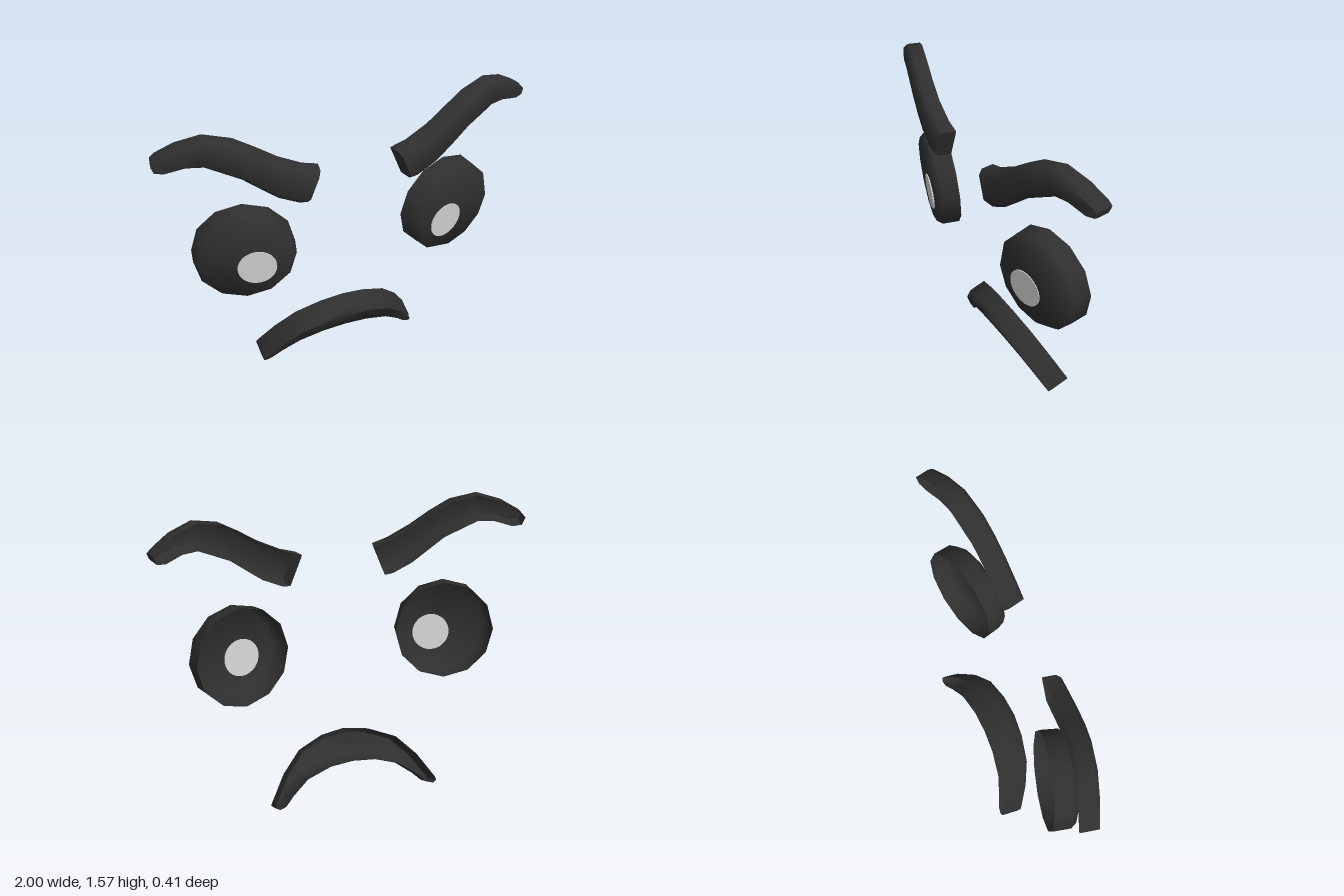
import * as THREE from 'three';
import { toCreasedNormals } from 'three/addons/utils/BufferGeometryUtils.js';

const charcoal = new THREE.MeshStandardMaterial({ color: 0x2f2f2f, side: THREE.DoubleSide });
charcoal.name = 'charcoal';
const paleGrey = new THREE.MeshStandardMaterial({ color: 0xd4d4d4, side: THREE.DoubleSide });
paleGrey.name = 'pale grey';

// Open-backed strip lofted through rows of [topX, topY, bottomX, bottomY].
// zAt(x, y) gives the front surface, depth is the vector from front to back.
function strip(name, rows, zAt, depth, side = 1) {
  const pos = [], idx = [];
  const n = 6;
  for (const [tx, ty, bx, by] of rows) {
    const t = new THREE.Vector3(tx, ty, zAt(tx, ty));
    const b = new THREE.Vector3(bx, by, zAt(bx, by));
    const ring = [
      t.clone().add(depth), t.clone().addScaledVector(depth, 0.25),
      t.clone().lerp(b, 0.15), b.clone().lerp(t, 0.15),
      b.clone().addScaledVector(depth, 0.25), b.clone().add(depth),
    ];
    for (const p of ring) pos.push(p.x * side, p.y, p.z);
  }
  const tri = (a, b, c) => (side > 0 ? idx.push(a, b, c) : idx.push(a, c, b));
  for (let r = 0; r < rows.length - 1; r++) {
    for (let i = 0; i < n - 1; i++) {
      const a = r * n + i, c = a + n;
      tri(a, a + 1, c);
      tri(a + 1, c + 1, c);
    }
  }
  // end caps
  const last = (rows.length - 1) * n;
  for (let i = 1; i < n - 1; i++) {
    tri(0, i + 1, i);
    tri(last, last + i, last + i + 1);
  }
  const geo = new THREE.BufferGeometry();
  geo.setAttribute('position', new THREE.Float32BufferAttribute(pos, 3));
  geo.setIndex(idx);
  const mesh = new THREE.Mesh(toCreasedNormals(geo, 0.95), charcoal);
  mesh.name = name;
  return mesh;
}

// Hollow twelve-sided cup with a round pupil set through its floor
function eye(name, side) {
  const group = new THREE.Group();
  group.name = name;
  const profile = [[0.264, 0], [0.26, 0.095], [0.235, 0.125], [0, 0.132]]
    .map(([r, y]) => new THREE.Vector2(r, y));
  const cupGeo = new THREE.LatheGeometry(profile, 12).rotateX(Math.PI / 2);
  const cup = new THREE.Mesh(toCreasedNormals(cupGeo, 0.95), charcoal);
  cup.name = 'eyeCup';
  const pupil = new THREE.Mesh(
    new THREE.CylinderGeometry(0.1, 0.1, 0.009, 32).rotateX(Math.PI / 2), paleGrey);
  pupil.name = 'pupil';
  pupil.position.set(-0.055 * side, -0.045, 0.13);
  group.add(cup, pupil);
  group.position.set(0.555 * side, 0.86, -0.01);
  group.rotation.set(0.09, 0.25 * side, 0, 'YXZ');
  return group;
}

export function createModel() {
  const model = new THREE.Group();
  model.name = 'frowningFace';

  // Brows: S-shaped, sweeping back towards the temples
  const browRows = [
    [0.215, 1.325, 0.28, 1.165], [0.3, 1.35, 0.325, 1.17], [0.42, 1.41, 0.43, 1.22],
    [0.527, 1.48, 0.51, 1.28], [0.63, 1.54, 0.6, 1.35], [0.767, 1.572, 0.767, 1.433],
    [0.89, 1.535, 0.85, 1.433], [0.98, 1.48, 0.94, 1.406], [1.0, 1.455, 0.985, 1.415],
  ];
  const browZ = (x) => 0.213 - 0.3 * (x - 0.25) ** 2;
  const browDepth = new THREE.Vector3(-0.02, 0, -0.09);

  for (const [word, side] of [['left', 1], ['right', -1]]) {
    model.add(strip(word + 'Brow', browRows, browZ, browDepth, side));
    model.add(eye(word + 'Eye', side));
  }

  // Mouth: downturned arch leaning back at its corners
  const half = [
    [0.126, 0.305, 0.126, 0.16], [0.262, 0.252, 0.26, 0.12],
    [0.366, 0.152, 0.352, 0.055], [0.45, 0.03, 0.4, 0.012], [0.455, 0.012, 0.435, 0.002],
  ];
  const mouthRows = [
    ...half.map(([a, b, c, d]) => [-a, b, -c, d]).reverse(),
    [0, 0.322, 0, 0.17],
    ...half,
  ];
  const mouthZ = (x, y) => -0.085 + 0.53 * y;
  model.add(strip('mouth', mouthRows, mouthZ, new THREE.Vector3(0, 0.047, -0.115)));

  return model;
}
